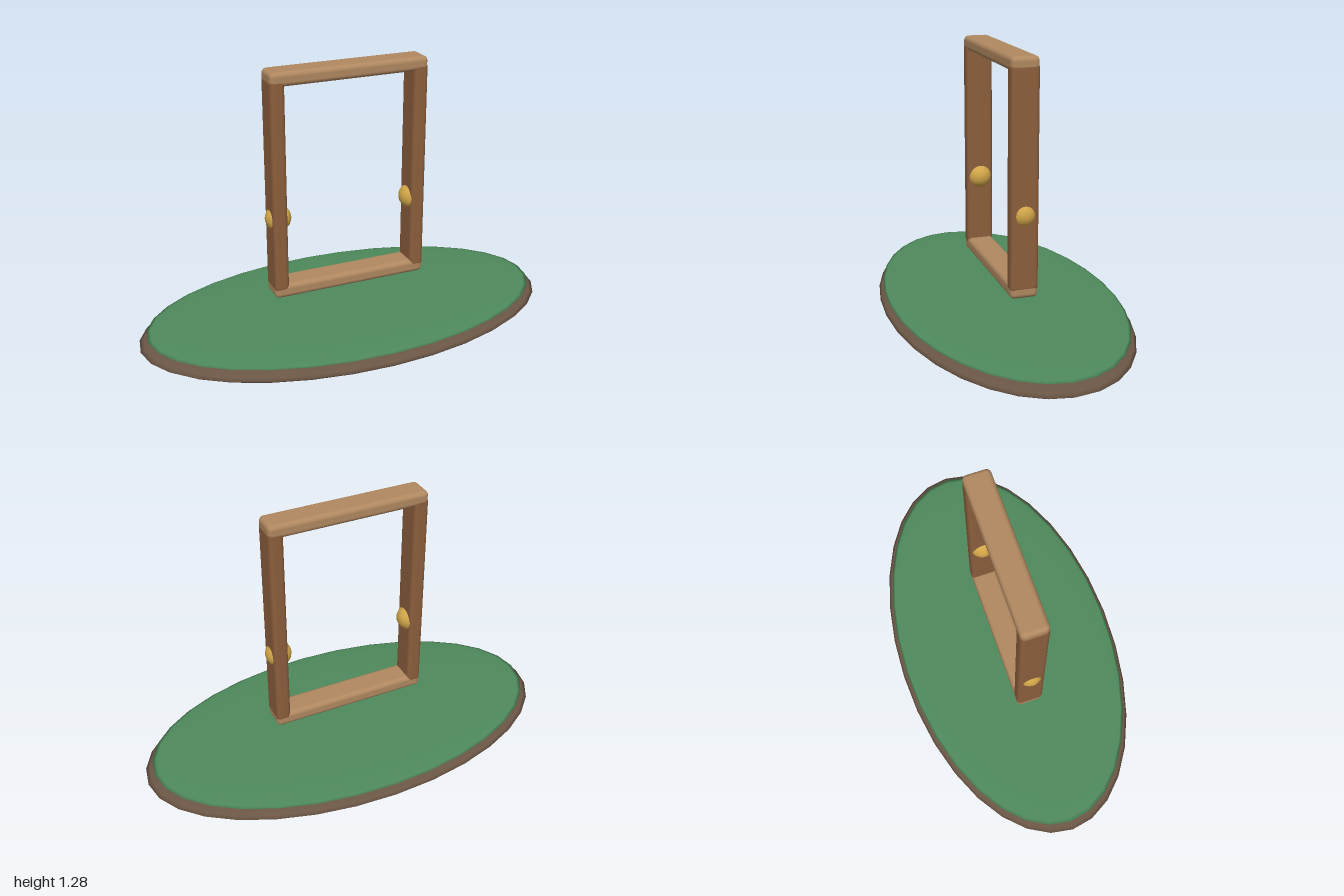
import * as THREE from 'three';
import { RoundedBoxGeometry } from 'three/addons/geometries/RoundedBoxGeometry.js';

function material(name, color) {
  const m = new THREE.MeshStandardMaterial({ color });
  m.name = name;
  return m;
}

export function createModel() {
  const model = new THREE.Group();
  model.name = 'frameOnOvalBase';

  const earth = material('earthBrown', 0x6b5645);
  const grass = material('grassGreen', 0x4f8a5c);
  const darkWood = material('darkWood', 0x8b5e3c);
  const lightWood = material('lightWood', 0xb08860);
  const brass = material('brass', 0xd0a548);

  function add(name, geometry, mat, x, y, z = 0) {
    const mesh = new THREE.Mesh(geometry, mat);
    mesh.name = name;
    mesh.position.set(x, y, z);
    model.add(mesh);
    return mesh;
  }

  // Flattened oval ground with a thin green cover
  const disc = new THREE.SphereGeometry(1, 32, 16);
  add('groundBase', disc, earth, 0, 0.06).scale.set(1, 0.06, 0.545);
  add('grassCover', disc, grass, 0, 0.104).scale.set(0.965, 0.02, 0.525);

  // Top and bottom rails
  const rail = new RoundedBoxGeometry(0.75, 0.066, 0.126, 4, 0.022);
  add('bottomRail', rail, lightWood, 0, 0.254);
  add('topRail', rail, lightWood, 0, 1.252);

  // Posts, each with a round knob set through it
  const post = new RoundedBoxGeometry(0.068, 1.0, 0.128, 4, 0.02);
  const knob = new THREE.SphereGeometry(0.06, 20, 14);
  for (const [side, s] of [['left', 1], ['right', -1]]) {
    add(side + 'Post', post, darkWood, s * 0.342, 0.753);
    add(side + 'Knob', knob, brass, s * 0.335, 0.6);
  }
  return model;
}
